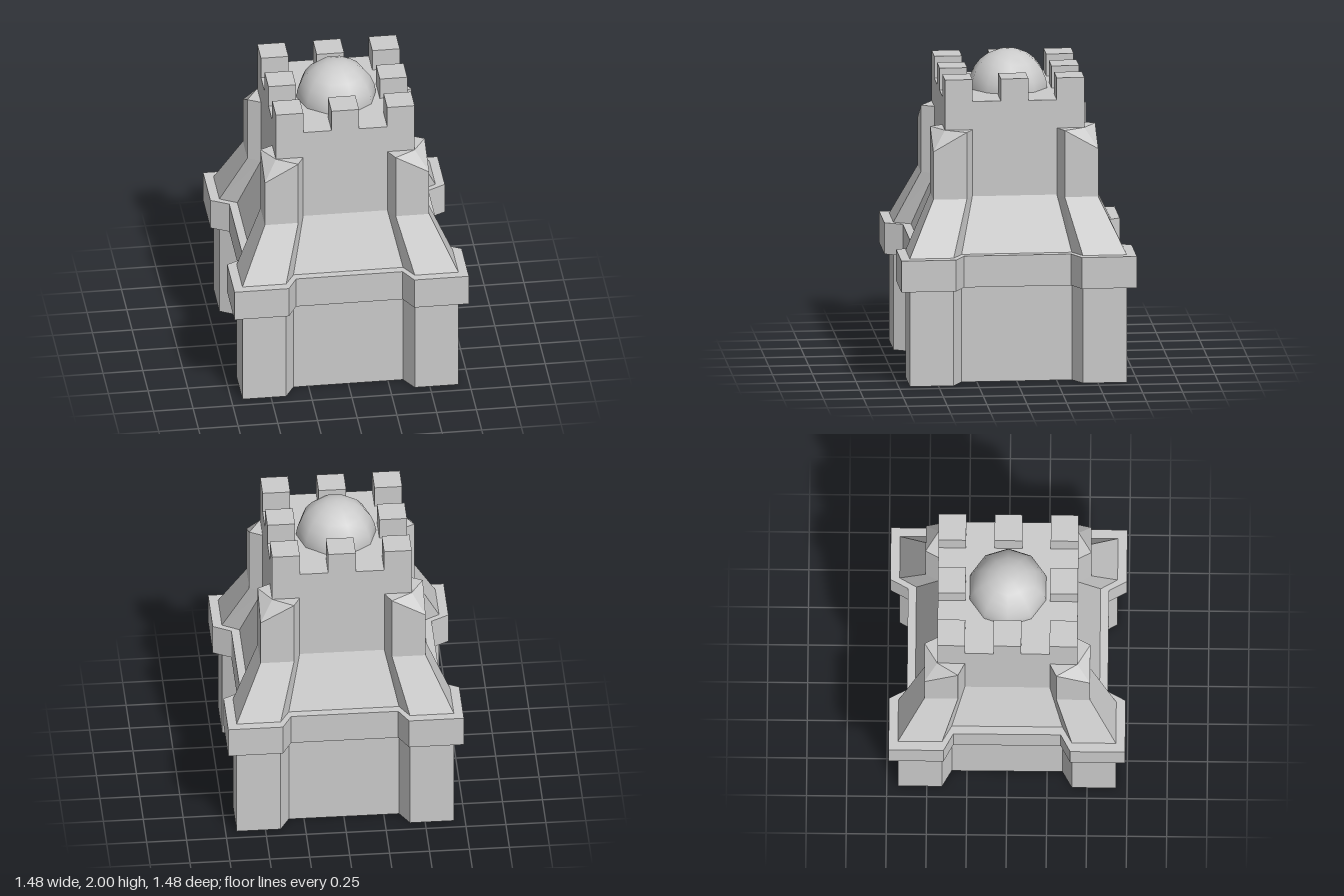
import * as THREE from 'three';

const material = new THREE.MeshStandardMaterial({ color: 0xcccccc, flatShading: true, side: THREE.DoubleSide });
const smooth = new THREE.MeshStandardMaterial({ color: 0xcccccc, side: THREE.DoubleSide });

// Repeat the points of one corner around all four corners at height y.
function ring(corner, y) {
  const pts = [];
  for (let k = 0; k < 4; k++) {
    for (const [cx, cz] of corner) {
      let x = cx, z = cz;
      for (let i = 0; i < k; i++) [x, z] = [-z, x];
      pts.push(new THREE.Vector3(x, y, z));
    }
  }
  return pts;
}

// Wall outline with a splayed pier on each corner.
const pierRing = (wall, pier, outer, inner, y) => ring(
  [[wall, inner], [pier, outer], [pier, pier], [outer, pier], [inner, wall]], y);

// Triangles between two rings of equal length.
function loft(low, high) {
  const tris = [];
  low.forEach((a, i) => {
    const j = (i + 1) % low.length;
    tris.push(a, high[i], low[j], low[j], high[i], high[j]);
  });
  return tris;
}

function shell(name, tris) {
  const geometry = new THREE.BufferGeometry().setFromPoints(tris);
  geometry.computeVertexNormals();
  const mesh = new THREE.Mesh(geometry, material);
  mesh.name = name;
  return mesh;
}

export function createModel() {
  const group = new THREE.Group();
  group.name = 'tower';
  const T = 0.437, DECK = 1.76, CAP = 1.58;

  // Base walls, open underneath
  const base = [0, 0.615].map(y => pierRing(0.575, 0.68, 0.405, 0.345, y));
  group.add(shell('baseWalls', loft(...base)));

  // Projecting band with its lower and upper ledges
  const band = [0.615, 0.815].map(y => pierRing(0.627, 0.738, 0.395, 0.335, y));
  const slopeFoot = pierRing(0.575, 0.68, 0.405, 0.345, 0.815);
  group.add(shell('band', [...loft(base[1], band[0]), ...loft(...band), ...loft(band[1], slopeFoot)]));

  // Sloped shoulder
  const shoulder = pierRing(T, 0.517, 0.307, 0.265, 1.155);
  group.add(shell('slopedShoulder', loft(slopeFoot, shoulder)));

  // Upper walls; the outer corner of each pier is cut lower
  const top = pierRing(T, 0.517, 0.307, 0.265, CAP);
  for (let k = 0; k < 4; k++) top[k * 5 + 2].y = 1.46;
  group.add(shell('upperWalls', loft(shoulder, top)));

  // Pier caps, fanned from the tower corners
  const square = ring([[T, T]], CAP);
  const caps = [];
  square.forEach((c, k) => {
    for (let i = 0; i < 4; i++) caps.push(c, top[k * 5 + i + 1], top[k * 5 + i]);
  });
  group.add(shell('pierCaps', caps));

  // Parapet walls and roof deck
  const rim = ring([[T, T]], DECK);
  group.add(shell('parapet', loft(square, rim)));
  group.add(shell('roofDeck', [rim[0], rim[3], rim[2], rim[0], rim[2], rim[1]]));

  // Eight merlons around the edge
  const D = 0.173, H = 0.14, P = T - D / 2;
  for (const i of [-1, 0, 1]) {
    for (const j of [-1, 0, 1]) {
      if (!i && !j) continue;
      const merlon = new THREE.Mesh(new THREE.BoxGeometry(D, H, D), material);
      merlon.position.set(i * P, DECK + H / 2, j * P);
      merlon.name = 'merlon';
      group.add(merlon);
    }
  }

  // Ten-sided smooth dome
  const dome = new THREE.Mesh(
    new THREE.SphereGeometry(0.252, 10, 6, 0, Math.PI * 2, 0, Math.PI / 2), smooth);
  dome.position.y = 1.748;
  dome.name = 'dome';
  group.add(dome);

  return group;
}
